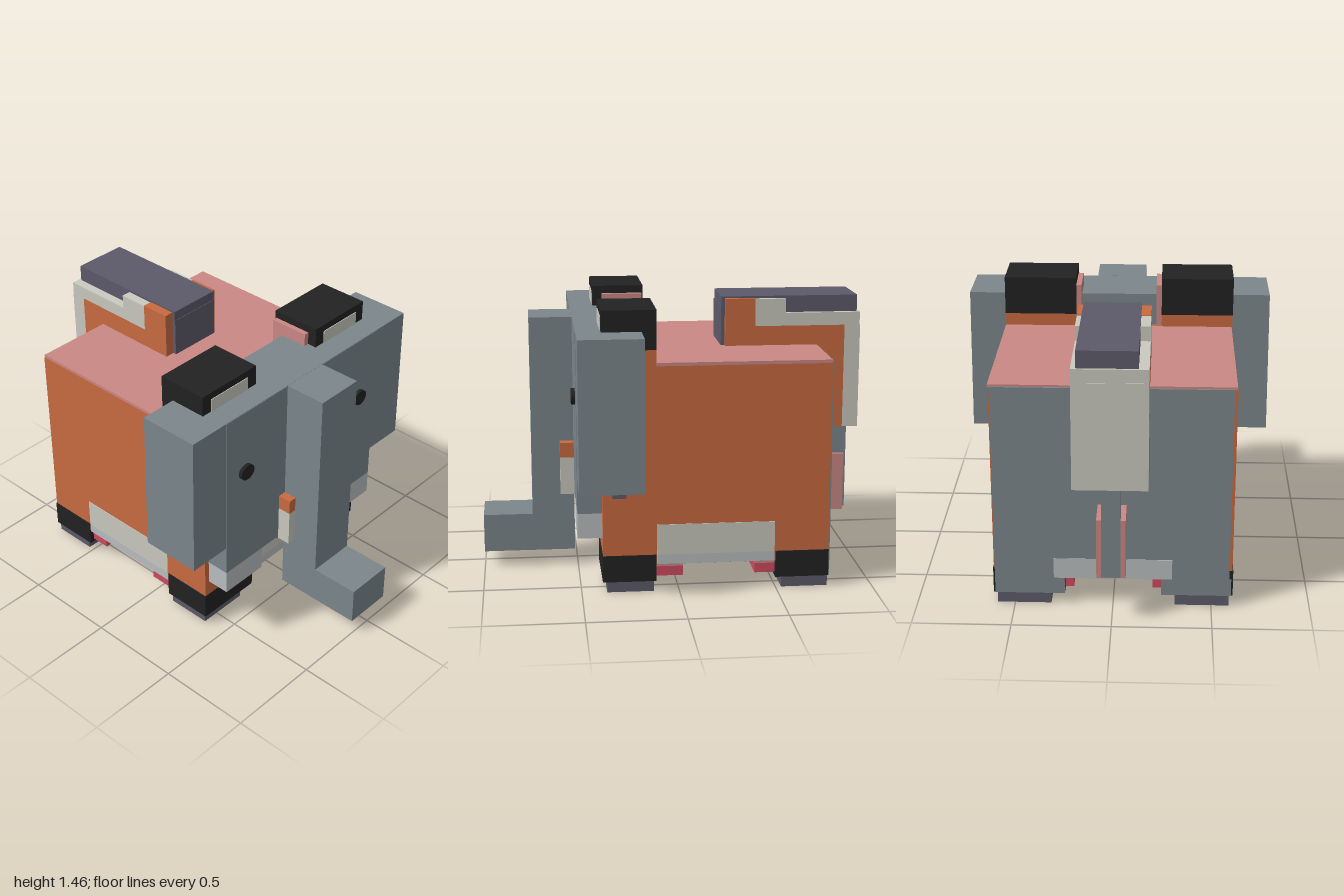
import * as THREE from 'three';

const mat = (name, color) => {
  const m = new THREE.MeshStandardMaterial({ color });
  m.name = name;
  return m;
};

export function createModel() {
  const slate = mat('slate grey', 0x7b868b);
  const orange = mat('orange', 0xc96a40);
  const pink = mat('pink', 0xca8884);
  const cream = mat('cream', 0xc9c9bf);
  const light = mat('light grey', 0xbabec0);
  const black = mat('black', 0x222222);
  const plum = mat('plum grey', 0x5c5a6a);
  const red = mat('red', 0xcf4a5f);

  const model = new THREE.Group();
  model.name = 'blockyElephant';

  // Box from its limits along x, y and z
  const box = (name, m, x0, x1, y0, y1, z0, z1) => {
    const g = new THREE.BoxGeometry(x1 - x0, y1 - y0, z1 - z0);
    g.translate((x0 + x1) / 2, (y0 + y1) / 2, (z0 + z1) / 2);
    const mesh = new THREE.Mesh(g, m);
    mesh.name = name;
    model.add(mesh);
    return mesh;
  };
  // The same box on both sides
  const pair = (name, m, x0, x1, ...rest) => {
    box(name + 'Left', m, x0, x1, ...rest);
    box(name + 'Right', m, -x1, -x0, ...rest);
  };

  // Body with its coloured faces
  box('body', orange, -0.605, 0.605, 0.152, 1.18, -0.77, 0.39);
  box('backBlanket', pink, -0.603, 0.608, 1.178, 1.195, -0.768, 0.12);
  box('belly', slate, -0.603, 0.603, 0.148, 0.156, -0.768, 0.388);
  box('rump', slate, -0.59, 0.6, 0.15, 1.185, -0.778, -0.769);
  box('rumpPatch', light, -0.3, 0.3, 0.15, 0.26, -0.781, -0.777);
  box('chestPatch', cream, -0.25, 0.3, 0.2, 0.44, 0.385, 0.393);
  box('chestBand', light, -0.25, 0.25, 0.15, 0.2, 0.385, 0.393);
  pair('sidePatch', cream, 0.6, 0.608, 0.2, 0.36, -0.49, 0.115);
  pair('sideBand', light, 0.6, 0.608, 0.15, 0.2, -0.49, 0.115);

  // Four legs, each with a pad, cuff and foot
  for (const [end, z0, z1, p0, p1, f0, f1] of [
    ['front', 0.12, 0.393, -0.02, 0.36, 0.13, 0.37],
    ['rear', -0.772, -0.495, -0.74, -0.39, -0.77, -0.53],
  ]) {
    pair(end + 'Leg', black, 0.245, 0.609, 0.06, 0.2, z0, z1);
    pair(end + 'PadTop', pink, 0.2, 0.585, 0.13, 0.152, p0, p1);
    pair(end + 'Pad', red, 0.2, 0.585, 0.08, 0.13, p0, p1);
    pair(end + 'Foot', plum, 0.315, 0.59, 0, 0.06, f0, f1);
  }
  pair('rearLegPlate', slate, 0.245, 0.6, 0.06, 0.152, -0.778, -0.771);

  // Head with broad ears, widening slightly toward the bottom
  const ears = box('headAndEars', slate, -0.81, 0.81, 0.583, 1.352, 0.19, 0.515);
  const p = ears.geometry.attributes.position;
  for (let i = 0; i < p.count; i++) p.setX(i, p.getX(i) * (p.getY(i) < 1 ? 1.005 : 0.995));
  ears.geometry.computeVertexNormals();
  pair('earTip', plum, 0.62, 0.75, 0.545, 0.584, 0.28, 0.35);
  box('face', slate, -0.58, 0.58, 0.42, 1.35, 0.392, 0.517);
  pair('jowl', light, 0.308, 0.58, 0.29, 0.42, 0.392, 0.517);
  box('mouth', pink, -0.2, 0.2, 0.408, 0.419, 0.394, 0.515);

  // Blocks on top behind the ears
  pair('topBlockBase', orange, 0.23, 0.607, 1.17, 1.26, 0.118, 0.388);
  pair('topBlock', black, 0.228, 0.608, 1.26, 1.46, 0.116, 0.39);
  pair('topBlockPatch', cream, 0.29, 0.55, 1.34, 1.422, 0.386, 0.394);
  pair('topBlockLining', pink, 0.2, 0.229, 1.19, 1.42, 0.125, 0.34);

  // Trunk and tusks
  box('trunk', slate, -0.135, 0.13, 0.087, 1.352, 0.516, 0.74);
  box('trunkTip', slate, -0.135, 0.13, 0.087, 0.29, 0.73, 1);
  pair('tuskRoot', orange, 0.125, 0.18, 0.61, 0.69, 0.515, 0.59);
  pair('tusk', cream, 0.125, 0.18, 0.41, 0.61, 0.515, 0.59);

  // Eyes
  for (const s of [1, -1]) {
    const eye = new THREE.Mesh(new THREE.CylinderGeometry(0.045, 0.045, 0.025, 32), black);
    eye.name = s > 0 ? 'eyeLeft' : 'eyeRight';
    eye.rotation.x = Math.PI / 2;
    eye.scale.set(1.04, 1, 0.93);
    eye.position.set(0.443 * s, 1, 0.524);
    model.add(eye);
  }

  // Bent pack over the rump: orange core, cream shell, plum lid
  box('packFront', orange, -0.18, 0.19, 1.19, 1.443, -0.44, -0.282);
  box('packCore', orange, -0.18, 0.19, 1.19, 1.297, -0.915, -0.44);
  box('packDrop', orange, -0.18, 0.19, 0.747, 1.19, -0.915, -0.772);
  box('packShellStep', cream, -0.18, 0.19, 1.297, 1.44, -0.6, -0.44);
  box('packShellTop', cream, -0.18, 0.19, 1.297, 1.365, -0.995, -0.6);
  box('packShellBack', cream, -0.18, 0.19, 0.747, 1.297, -0.998, -0.915);
  box('packLid', plum, -0.13, 0.165, 1.364, 1.452, -0.983, -0.265);
  box('packLidFront', plum, -0.13, 0.165, 1.195, 1.4, -0.29, -0.262);

  // Tail with a hooked lining
  box('tail', slate, -0.045, 0.05, 0.26, 0.75, -0.97, -0.88);
  box('tailHook', pink, -0.07, 0.075, 0.49, 0.565, -0.955, -0.77);
  box('tailLining', pink, -0.07, 0.075, 0.25, 0.49, -0.955, -0.865);

  return model;
}
